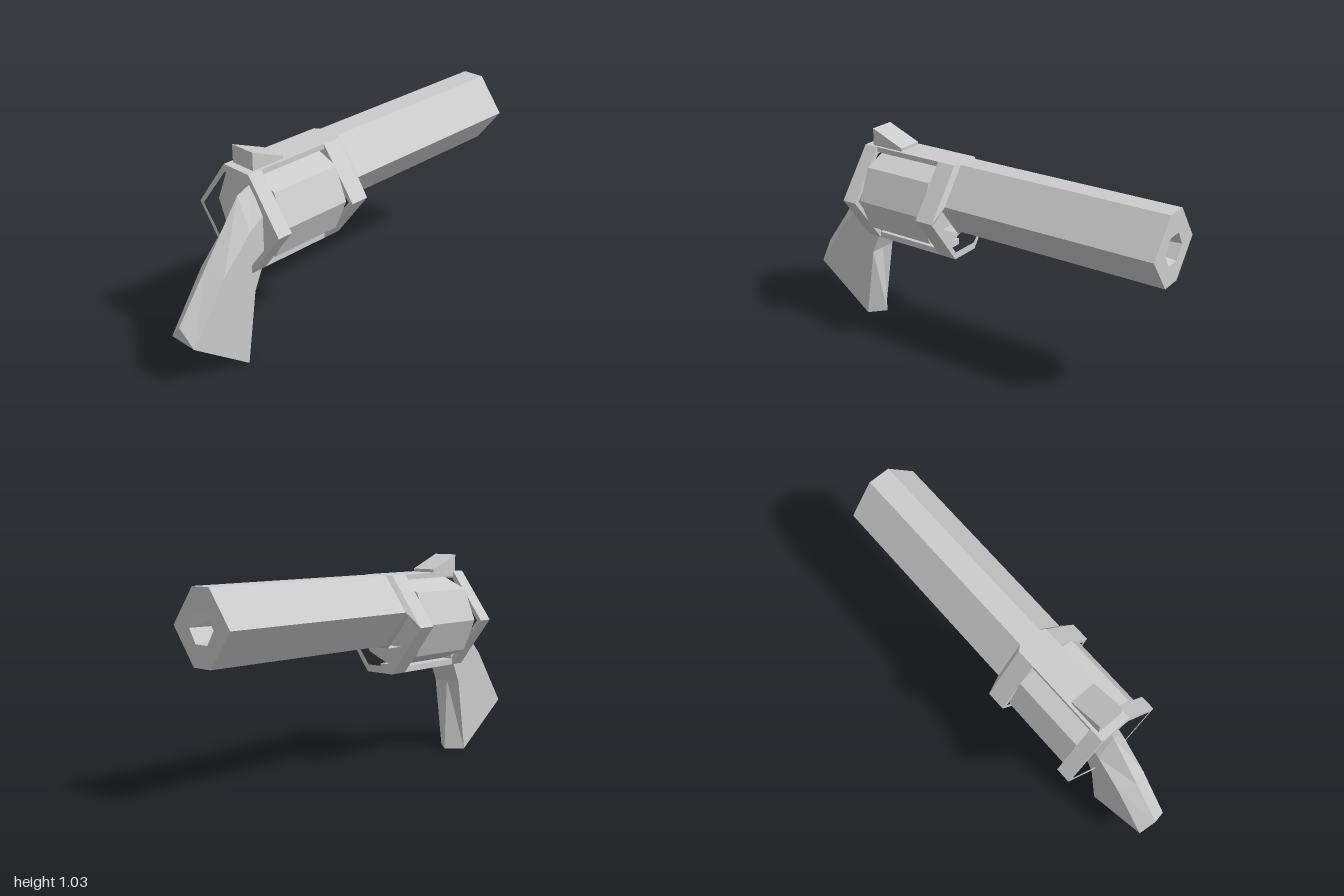
import * as THREE from 'three';

const mat = new THREE.MeshStandardMaterial({ color: 0xcccccc, flatShading: true });

// Mirror a half outline of [z, y] points into a closed loop
const mirror = (half) => [...half, ...half.map(([z, y]) => [-z, y]).reverse()];
const hex = (top, side, h, cy) => mirror([[top, cy + h], [side, cy], [top, cy - h]]);
const at = (x, loop) => loop.map(([z, y]) => [x, y, z]);

// Skin a row of equal-length loops; caps are corner triples of a loop
function loft(name, loops, startCap = [], endCap = []) {
  const n = loops[0].length, last = (loops.length - 1) * n, index = [];
  for (let k = 0; k < loops.length - 1; k++) {
    for (let i = 0; i < n; i++) {
      const a = k * n + i, b = k * n + (i + 1) % n;
      index.push(a, b, a + n, b, b + n, a + n);
    }
  }
  startCap.forEach(([a, b, c]) => index.push(a, c, b));
  endCap.forEach(([a, b, c]) => index.push(last + a, last + b, last + c));
  const geo = new THREE.BufferGeometry();
  geo.setAttribute('position', new THREE.Float32BufferAttribute(loops.flat(2), 3));
  geo.setIndex(index);
  const flat = geo.toNonIndexed();
  flat.computeVertexNormals();
  return named(name, flat);
}

function named(name, geo) {
  const mesh = new THREE.Mesh(geo, mat);
  mesh.name = name;
  return mesh;
}

// Plate across the x axis with one opening
function plate(name, x0, x1, outline, hole) {
  const toVec = (loop) => loop.map(([z, y]) => new THREE.Vector2(z, y));
  const shape = new THREE.Shape(toVec(outline));
  shape.holes.push(new THREE.Path(toVec(hole)));
  const geo = new THREE.ExtrudeGeometry(shape, { depth: x1 - x0, bevelEnabled: false });
  geo.rotateY(Math.PI / 2).translate(x0, 0, 0);
  return named(name, geo);
}

function box(name, x0, x1, y0, y1, width) {
  const geo = new THREE.BoxGeometry(x1 - x0, y1 - y0, width);
  return named(name, geo.translate((x0 + x1) / 2, (y0 + y1) / 2, 0));
}

export function createModel() {
  const group = new THREE.Group();
  const frame = hex(0.08, 0.26, 0.24, 0.705);
  const hexCap = [[0, 1, 2], [0, 2, 3], [0, 3, 4], [0, 4, 5]];

  // Frame: open rear ring, front ring with a U-shaped slot, two straps
  group.add(plate('rearFrame', -0.64, -0.565, frame, hex(0.075, 0.235, 0.205, 0.705)));
  const slot = mirror([[0.055, 0.59], [0.185, 0.755], [0.235, 0.705], [0.075, 0.5]]);
  group.add(plate('frontFrame', -0.19, -0.095, frame, slot));
  group.add(box('topStrap', -0.565, -0.19, 0.92, 0.945, 0.16));
  group.add(box('bottomStrap', -0.565, -0.19, 0.465, 0.495, 0.16));

  // Eight-sided drum
  const drum = new THREE.CylinderGeometry(0.22, 0.22, 0.375, 8);
  drum.rotateZ(Math.PI / 2).translate(-0.3775, 0.705, 0);
  group.add(named('drum', drum));

  // Sloped collar from the frame to the barrel
  group.add(loft('barrelCollar', [
    at(-0.095, mirror([[0.08, 0.945], [0.26, 0.705], [0.235, 0.705], [0.185, 0.755], [0.055, 0.59]])),
    at(-0.075, mirror([[0.055, 0.945], [0.185, 0.775], [0.184, 0.773], [0.18, 0.768], [0.055, 0.605]])),
  ]));

  // Hexagonal barrel with a tapered, blind bore
  const barrel = hex(0.055, 0.185, 0.17, 0.775);
  group.add(loft('barrel', [
    at(-0.075, barrel),
    at(1, barrel),
    at(1, hex(0.038, 0.08, 0.066, 0.77)),
    at(0.87, hex(0.028, 0.06, 0.046, 0.77)),
  ], hexCap, hexCap));

  // Wedge on the top strap
  const wedge = new THREE.Shape([[-0.6, 0.94], [-0.425, 0.94], [-0.425, 0.96], [-0.6, 1.03]]
    .map(([x, y]) => new THREE.Vector2(x, y)));
  const hammer = new THREE.ExtrudeGeometry(wedge, { depth: 0.13, bevelEnabled: false });
  group.add(named('hammer', hammer.translate(0, 0, -0.065)));

  // Grip: ridged back and front, section = back ridge, back side, front side, front ridge
  const w = 0.077;
  const section = (rb, sb, sf, rf) => [
    [...rb, 0], [...sb, w], [...sf, w], [...rf, 0], [...sf, -w], [...sb, -w]];
  const gripCap = [[0, 1, 5], [1, 2, 4], [1, 4, 5], [2, 3, 4]];
  group.add(loft('grip', [
    section([-1, 0.31], [-0.985, 0.225], [-0.68, 0], [-0.61, 0]),
    section([-0.835, 0.544], [-0.8, 0.5], [-0.625, 0.365], [-0.625, 0.365]),
    section([-0.64, 0.82], [-0.64, 0.67], [-0.58, 0.467], [-0.58, 0.467]),
    section([-0.565, 0.85], [-0.565, 0.72], [-0.56, 0.49], [-0.56, 0.49]),
  ], gripCap, gripCap));

  return group;
}
